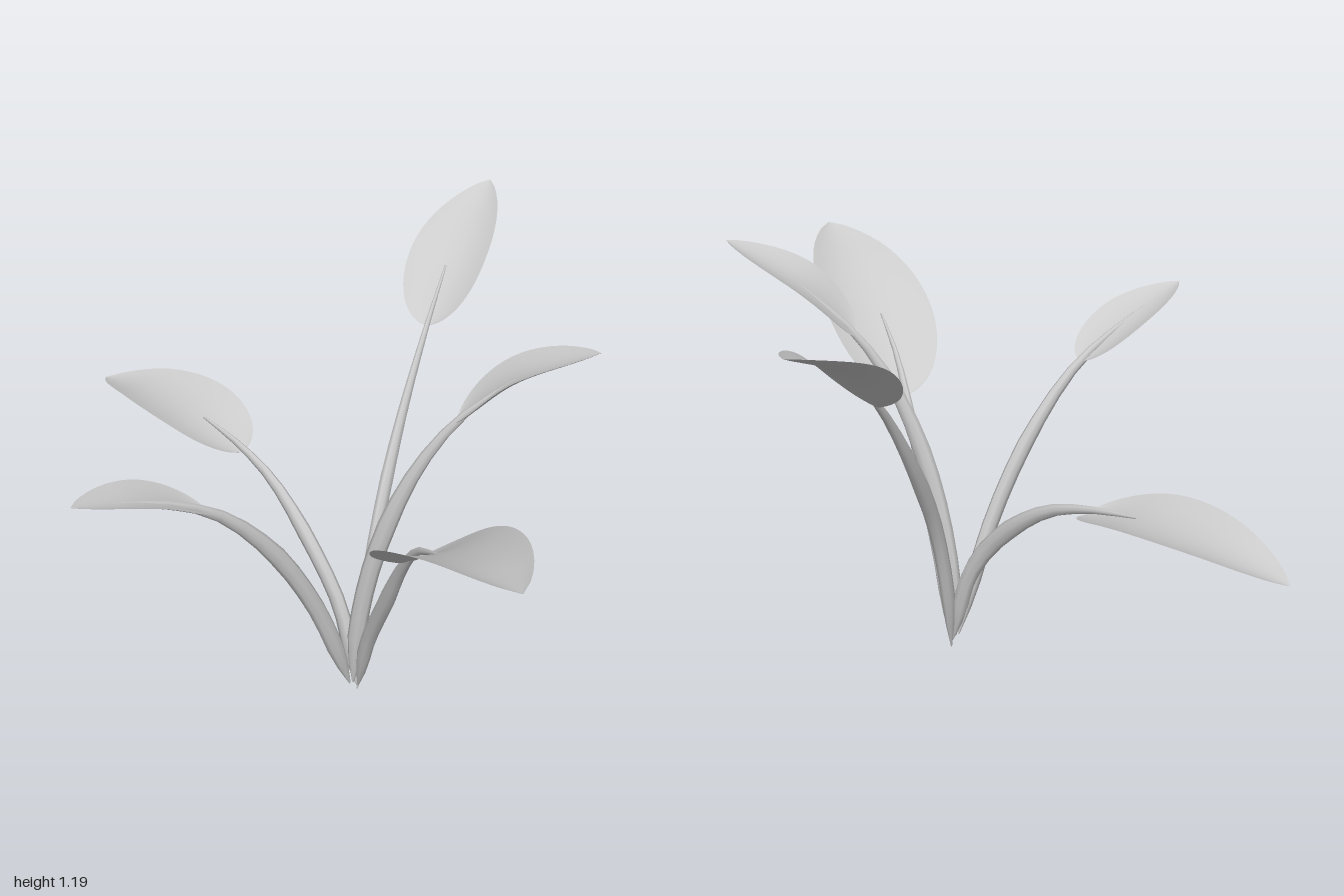
import * as THREE from 'three';

const UP = new THREE.Vector3(0, 1, 0);
const curveOf = pts => new THREE.CatmullRomCurve3(pts.map(p => new THREE.Vector3(...p)));

// Surface from rows of points; closed joins the last column to the first
function gridSurface(rows, cols, closed, point) {
  const pos = [], index = [];
  const n = closed ? cols : cols + 1;
  for (let i = 0; i <= rows; i++)
    for (let j = 0; j < n; j++) pos.push(...point(i / rows, j / cols).toArray());
  for (let i = 0; i < rows; i++)
    for (let j = 0; j < cols; j++) {
      const k = (j + 1) % n;
      const a = i * n + j, b = i * n + k, c = a + n, d = b + n;
      index.push(a, c, b, b, c, d);
    }
  const g = new THREE.BufferGeometry();
  g.setAttribute('position', new THREE.Float32BufferAttribute(pos, 3));
  g.setIndex(index);
  g.computeVertexNormals();
  return g;
}

// Oval stalk, slim at the root and tapering out along the leaf's midrib
function stemGeometry(pts) {
  const curve = curveOf(pts);
  const side = curve.getPoint(1).sub(curve.getPoint(0)).cross(UP).normalize();
  return gridSurface(14, 8, true, (t, u) => {
    const tangent = curve.getTangentAt(t);
    const normal = side.clone().cross(tangent).normalize();
    const taper = Math.min(1, 0.35 + t * 5) * (t < 0.5 ? 1 : 1 - 1.7 * (t - 0.5));
    const end = t === 0 ? 0.1 : taper;
    const a = u * Math.PI * 2;
    return curve.getPointAt(t)
      .addScaledVector(side, Math.cos(a) * 0.018 * end)
      .addScaledVector(normal, Math.sin(a) * 0.025 * end);
  });
}

// Teardrop blade, round at the base, pointed at the tip, cupped along the midrib
function leafGeometry(pts, halfWidth) {
  const curve = curveOf(pts);
  const shape = t => Math.pow(t, 0.52) * Math.pow(1 - t, 0.8);
  const peak = shape(0.52 / 1.32);
  return gridSurface(24, 10, false, (v, u) => {
    const t = v * v * (1.6 - 0.6 * v); // denser rows at the round base
    const tangent = curve.getTangentAt(t);
    const side = tangent.clone().cross(UP).normalize();
    const normal = side.clone().cross(tangent).normalize();
    const s = 1 - 2 * u, w = halfWidth * shape(t) / peak;
    return curve.getPointAt(t)
      .addScaledVector(side, s * w)
      .addScaledVector(normal, s * s * w * 0.24);
  });
}

const PLANTS = [
  { name: 'back', width: 0.13,
    stem: [[0.02, 0.02, 0.05], [0.01, 0.24, -0.01], [-0.01, 0.38, -0.1], [-0.03, 0.53, -0.28], [-0.05, 0.585, -0.42], [-0.075, 0.615, -0.57]],
    leaf: [[-0.05, 0.567, -0.41], [-0.08, 0.61, -0.6], [-0.115, 0.615, -0.8], [-0.16, 0.585, -1]] },
  { name: 'leftBack', width: 0.11,
    stem: [[0.025, 0, 0.05], [0.05, 0.17, 0.03], [0.12, 0.42, -0.01], [0.26, 0.68, -0.1], [0.4, 0.89, -0.18], [0.54, 1.035, -0.27]],
    leaf: [[0.425, 0.91, -0.205], [0.58, 1.06, -0.29], [0.8, 1.185, -0.41]] },
  { name: 'right', width: 0.088,
    stem: [[0, 0.03, 0.05], [-0.05, 0.17, 0.055], [-0.13, 0.36, 0.06], [-0.25, 0.56, 0.06], [-0.4, 0.72, 0.06], [-0.55, 0.805, 0.06], [-0.69, 0.855, 0.063]],
    leaf: [[-0.43, 0.74, 0.06], [-0.6, 0.828, 0.06], [-0.805, 0.89, 0.075]] },
  { name: 'front', width: 0.153,
    stem: [[0.02, 0.02, 0.06], [0.005, 0.2, 0.12], [-0.025, 0.42, 0.245], [-0.06, 0.61, 0.365], [-0.09, 0.715, 0.46], [-0.13, 0.79, 0.59]],
    leaf: [[-0.06, 0.625, 0.375], [-0.11, 0.775, 0.57], [-0.16, 0.875, 0.77], [-0.225, 0.945, 1]] },
  { name: 'leftFront', width: 0.1,
    stem: [[0.01, 0.03, 0.05], [0.015, 0.25, 0.07], [0.04, 0.5, 0.12], [0.1, 0.74, 0.19], [0.18, 0.9, 0.26], [0.28, 1.025, 0.355]],
    leaf: [[0.18, 0.895, 0.255], [0.28, 1.03, 0.36], [0.4, 1.13, 0.52]] },
];

export function createModel() {
  const group = new THREE.Group();
  group.name = 'leafyPlant';
  const stemMat = new THREE.MeshStandardMaterial({ color: 0xcccccc });
  const leafMat = new THREE.MeshStandardMaterial({ color: 0xcccccc, side: THREE.DoubleSide });
  for (const p of PLANTS) {
    const stalk = new THREE.Group();
    stalk.name = p.name + 'Stalk';
    const stem = new THREE.Mesh(stemGeometry(p.stem), stemMat);
    stem.name = p.name + 'Stem';
    const leaf = new THREE.Mesh(leafGeometry(p.leaf, p.width), leafMat);
    leaf.name = p.name + 'Leaf';
    stalk.add(stem, leaf);
    group.add(stalk);
  }
  return group;
}
